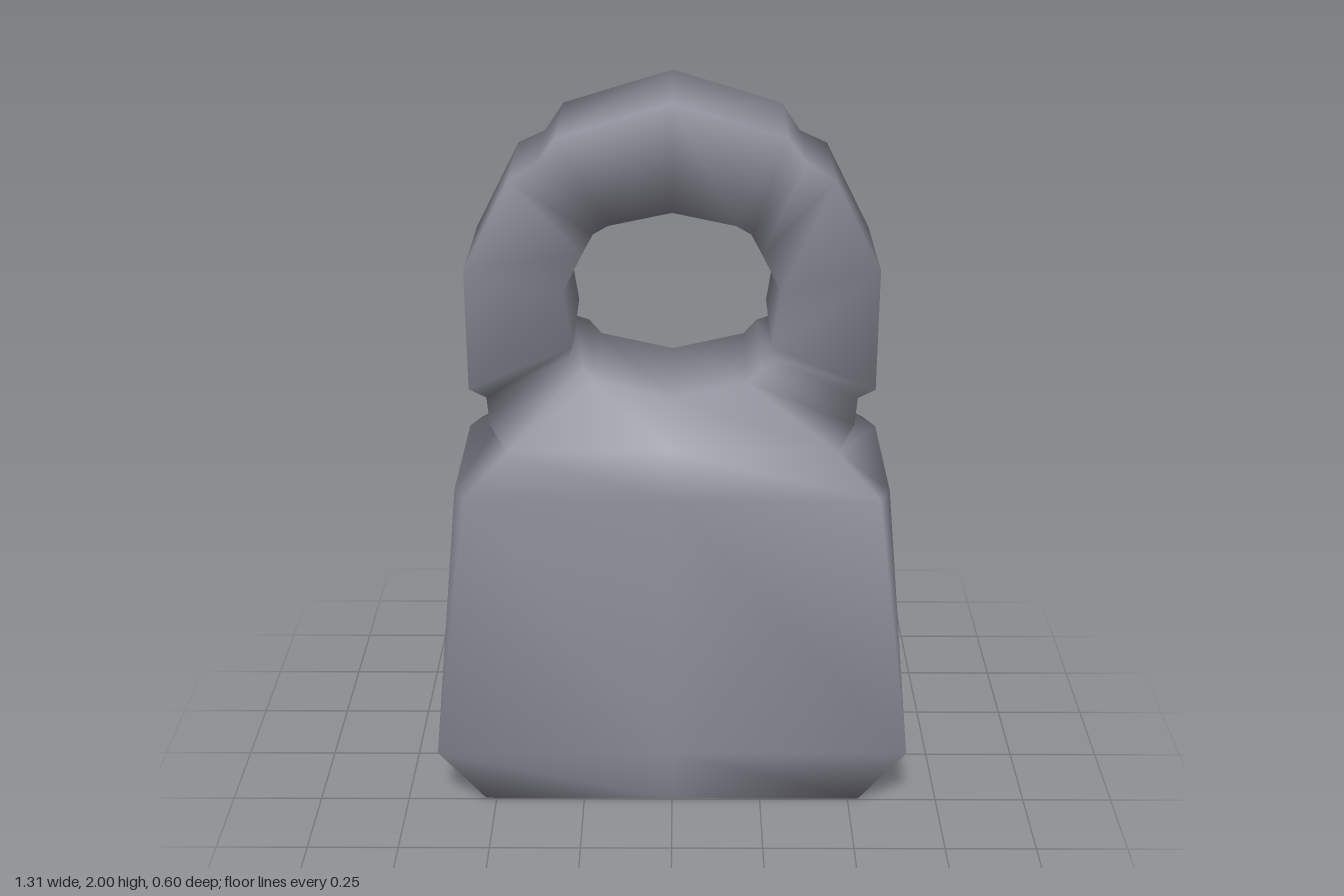
import * as THREE from 'three';
import { mergeVertices } from 'three/addons/utils/BufferGeometryUtils.js';

const V = (x, y, z) => new THREE.Vector3(x, y, z);

export function createModel() {
  const group = new THREE.Group();
  const iron = new THREE.MeshStandardMaterial({ color: 0x8c8d98 });
  iron.name = 'greyIron';

  const pos = [];
  const tri = (...pts) => pts.forEach((p) => pos.push(p.x, p.y, p.z));
  const quad = (a, b, c, d) => { tri(a, b, c); tri(a, c, d); };

  // Body: box-like loops [y, half width, half depth, corner cut in x, in z]
  const loops = [
    [0, 0.53, 0.245, 0, 0],
    [0.18, 0.655, 0.3, 0, 0],
    [0.955, 0.585, 0.3, 0.03, 0.07],
    [1.05, 0.445, 0.197, 0, 0],
  ].map(([y, w, d, cx, cz]) => [
    [w, d - cz], [w - cx, d], [0, d], [cx - w, d], [-w, d - cz],
    [-w, cz - d], [cx - w, -d], [0, -d], [w - cx, -d], [w, cz - d],
  ].map(([x, z]) => V(x, y, z)));
  const n = loops[0].length;
  for (let i = 0; i < loops.length - 1; i++) {
    for (let j = 0; j < n; j++) {
      const k = (j + 1) % n;
      quad(loops[i][j], loops[i + 1][j], loops[i + 1][k], loops[i][k]);
    }
  }
  for (let j = 1; j < n - 1; j++) tri(loops[0][0], loops[0][j], loops[0][j + 1]);
  const bodyCount = pos.length / 3;

  // Handle and neck: stations round the ring [outer x, y, inner x, y, half depth]
  const half = [
    [0, 2, 0, 1.715, 0.197],
    [0.295, 1.91, 0.165, 1.68, 0.197],
    [0.345, 1.84, 0.205, 1.65, 0.172],
    [0.42, 1.8, 0.235, 1.6, 0.197],
    [0.542, 1.56, 0.285, 1.5, 0.197],
    [0.54, 1.23, 0.262, 1.35, 0.197],
    [0.495, 1.2, 0.275, 1.31, 0.18],
    [0.487, 1.13, 0.235, 1.29, 0.197],
    [0.445, 1.05, 0.2, 1.25, 0.197],
    [0, 1.05, 0, 1.205, 0.197],
  ];
  const mirrored = half.slice(1, -1).reverse().map(([a, b, c, d, z]) => [-a, b, -c, d, z]);
  const ring = [...half, ...mirrored].map(([ox, oy, ix, iy, z]) => ({
    of: V(ox, oy, z), ob: V(ox, oy, -z), nf: V(ix, iy, z), nb: V(ix, iy, -z),
  }));
  ring.forEach((a, i) => {
    const b = ring[(i + 1) % ring.length];
    quad(a.of, a.nf, b.nf, b.of);
    quad(a.ob, b.ob, b.nb, a.nb);
    quad(a.nf, a.nb, b.nb, b.nf);
    // The neck's underside is open where it meets the body
    if (a.of.y > 1.05 || b.of.y > 1.05) quad(a.of, b.of, b.ob, a.ob);
  });

  // Smooth normals run across the seam between body and neck
  let geo = new THREE.BufferGeometry();
  geo.setAttribute('position', new THREE.Float32BufferAttribute(pos, 3));
  geo = mergeVertices(geo, 1e-4);
  geo.computeVertexNormals();
  const index = Array.from(geo.index.array);

  const addPart = (name, part) => {
    const g = geo.clone();
    g.setIndex(part);
    const mesh = new THREE.Mesh(g, iron);
    mesh.name = name;
    group.add(mesh);
  };
  addPart('weightBody', index.slice(0, bodyCount));
  addPart('ringHandle', index.slice(bodyCount));

  group.name = 'handWeight';
  return group;
}
